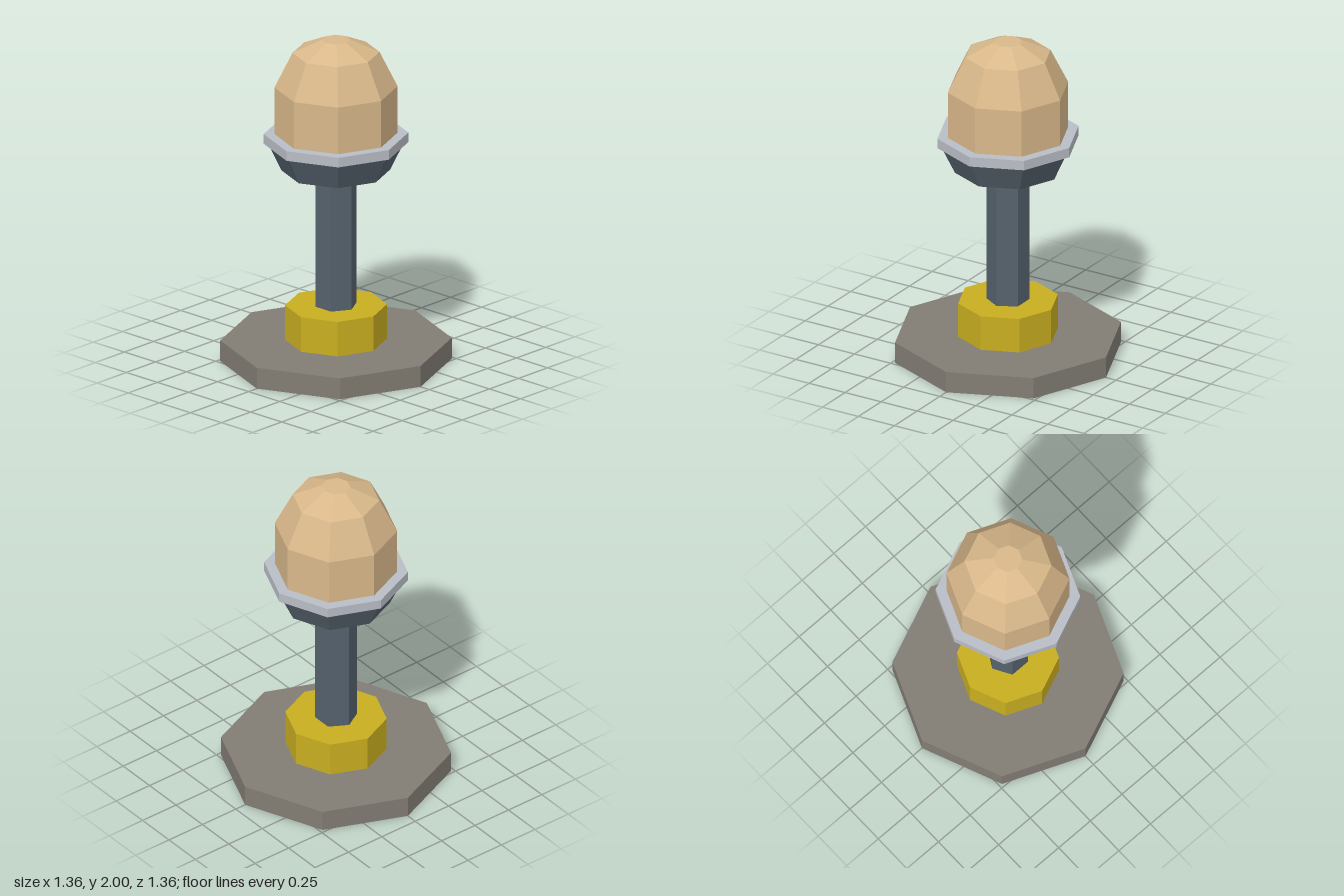
import * as THREE from 'three';

const mat = (name, color) => {
  const m = new THREE.MeshStandardMaterial({ color, flatShading: true });
  m.name = name;
  return m;
};

export function createModel() {
  const group = new THREE.Group();
  const stone = mat('stone grey', 0x827d74);
  const yellow = mat('yellow', 0xc9ae20);
  const slate = mat('slate blue', 0x56626d);
  const silver = mat('silver', 0xb9bdc5);
  const tan = mat('tan', 0xd9b88a);

  // Upright faceted drum from y0 to y1, with one corner facing front
  const drum = (name, material, rBottom, rTop, y0, y1, sides = 8) => {
    const geo = new THREE.CylinderGeometry(rTop, rBottom, y1 - y0, sides);
    const mesh = new THREE.Mesh(geo, material);
    mesh.name = name;
    mesh.position.y = (y0 + y1) / 2;
    group.add(mesh);
  };

  drum('base', stone, 0.68, 0.68, 0, 0.13);
  drum('collar', yellow, 0.3, 0.3, 0.13, 0.345);
  drum('post', slate, 0.125, 0.125, 0.345, 1.19, 6);
  drum('cup', slate, 0.32, 0.4, 1.187, 1.355);
  drum('rim', silver, 0.425, 0.425, 1.355, 1.415);

  // Faceted dome with a small flat top
  const profile = [[0.362, 1.415], [0.362, 1.705], [0.256, 1.92], [0.084, 2], [0, 2]];
  const dome = new THREE.Mesh(
    new THREE.LatheGeometry(profile.map(([r, y]) => new THREE.Vector2(r, y)), 8), tan);
  dome.name = 'dome';
  group.add(dome);

  return group;
}
